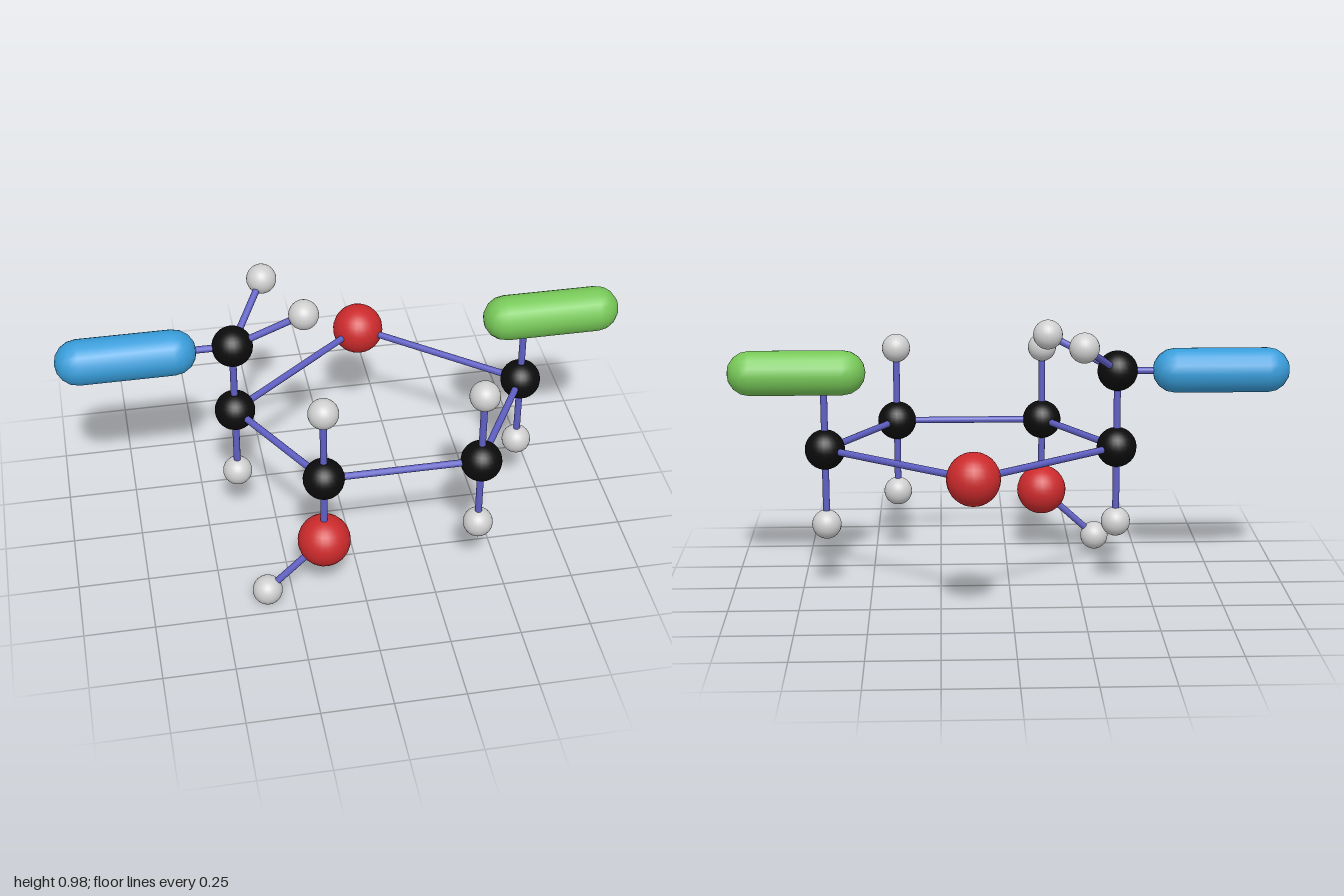
import * as THREE from 'three';

const mat = (name, color) => {
  const m = new THREE.MeshStandardMaterial({ color });
  m.name = name;
  return m;
};

export function createModel() {
  const model = new THREE.Group();
  model.name = 'molecule';
  const black = mat('carbonBlack', 0x0b0b0b);
  const red = mat('oxygenRed', 0xcb2a2c);
  const white = mat('hydrogenGrey', 0xcfcfcf);
  const violet = mat('bondViolet', 0x5f5fc4);
  const blue = mat('capsuleBlue', 0x389dda);
  const green = mat('capsuleGreen', 0x77c858);

  const kinds = {
    carbon: [new THREE.SphereGeometry(0.072, 24, 16), black],
    oxygen: [new THREE.SphereGeometry(0.093, 24, 16), red],
    hydrogen: [new THREE.SphereGeometry(0.053, 24, 16), white],
  };

  // Atoms: kind and centre
  const low = 0.247, mid = 0.525, high = 0.805, back = -0.008, front = 0.422;
  const atoms = {
    ringCarbonLeft: ['carbon', 0.66, mid, back],
    ringCarbonFrontLeft: ['carbon', 0.412, mid, front],
    ringCarbonFrontRight: ['carbon', -0.138, mid, front],
    ringCarbonRight: ['carbon', -0.385, mid, back],
    ringOxygen: ['oxygen', 0.136, mid, -0.423],
    sideCarbon: ['carbon', -0.385, high, back],
    sideHydrogenBack: ['hydrogen', -0.25, 0.931, -0.219],
    sideHydrogenFront: ['hydrogen', -0.138, 0.931, 0.025],
    hydroxylOxygen: ['oxygen', -0.138, low, front],
    hydroxylHydrogen: ['hydrogen', -0.344, 0.056, 0.436],
    lowerHydrogenLeft: ['hydrogen', 0.66, low, back],
    lowerHydrogenFront: ['hydrogen', 0.412, low, front],
    lowerHydrogenRight: ['hydrogen', -0.385, low, back],
    upperHydrogenLeft: ['hydrogen', 0.412, high, front],
    upperHydrogenRight: ['hydrogen', -0.138, high, front],
  };
  const points = {
    greenJoint: new THREE.Vector3(0.66, high, back),
    blueJoint: new THREE.Vector3(-0.66, high, back),
  };
  for (const [name, [kind, x, y, z]] of Object.entries(atoms)) {
    const atom = new THREE.Mesh(...kinds[kind]);
    atom.name = name;
    atom.position.set(x, y, z);
    points[name] = atom.position;
    model.add(atom);
  }

  // Bonds: thin rods between pairs of centres
  const bonds = [
    ['ringCarbonLeft', 'ringCarbonFrontLeft'],
    ['ringCarbonFrontLeft', 'ringCarbonFrontRight'],
    ['ringCarbonFrontRight', 'ringCarbonRight'],
    ['ringCarbonRight', 'ringOxygen'],
    ['ringOxygen', 'ringCarbonLeft'],
    ['ringCarbonRight', 'sideCarbon'],
    ['sideCarbon', 'sideHydrogenBack'],
    ['sideCarbon', 'sideHydrogenFront'],
    ['sideCarbon', 'blueJoint'],
    ['ringCarbonFrontRight', 'hydroxylOxygen'],
    ['hydroxylOxygen', 'hydroxylHydrogen'],
    ['ringCarbonLeft', 'lowerHydrogenLeft'],
    ['ringCarbonFrontLeft', 'lowerHydrogenFront'],
    ['ringCarbonRight', 'lowerHydrogenRight'],
    ['ringCarbonFrontLeft', 'upperHydrogenLeft'],
    ['ringCarbonFrontRight', 'upperHydrogenRight'],
    ['ringCarbonLeft', 'greenJoint'],
  ];
  const up = new THREE.Vector3(0, 1, 0);
  for (const [from, to] of bonds) {
    const span = points[to].clone().sub(points[from]);
    const rod = new THREE.Mesh(new THREE.CylinderGeometry(0.0125, 0.0125, span.length(), 12), violet);
    rod.name = 'bond';
    rod.position.copy(points[from]).addScaledVector(span, 0.5);
    rod.quaternion.setFromUnitVectors(up, span.normalize());
    model.add(rod);
  }

  // Capsules standing for the side groups
  const capsule = new THREE.CapsuleGeometry(0.081, 0.328, 4, 16).rotateZ(Math.PI / 2);
  for (const [name, x, material] of [['blueCapsule', -0.755, blue], ['greenCapsule', 0.755, green]]) {
    const mesh = new THREE.Mesh(capsule, material);
    mesh.name = name;
    mesh.position.set(x, high, back);
    model.add(mesh);
  }
  return model;
}
